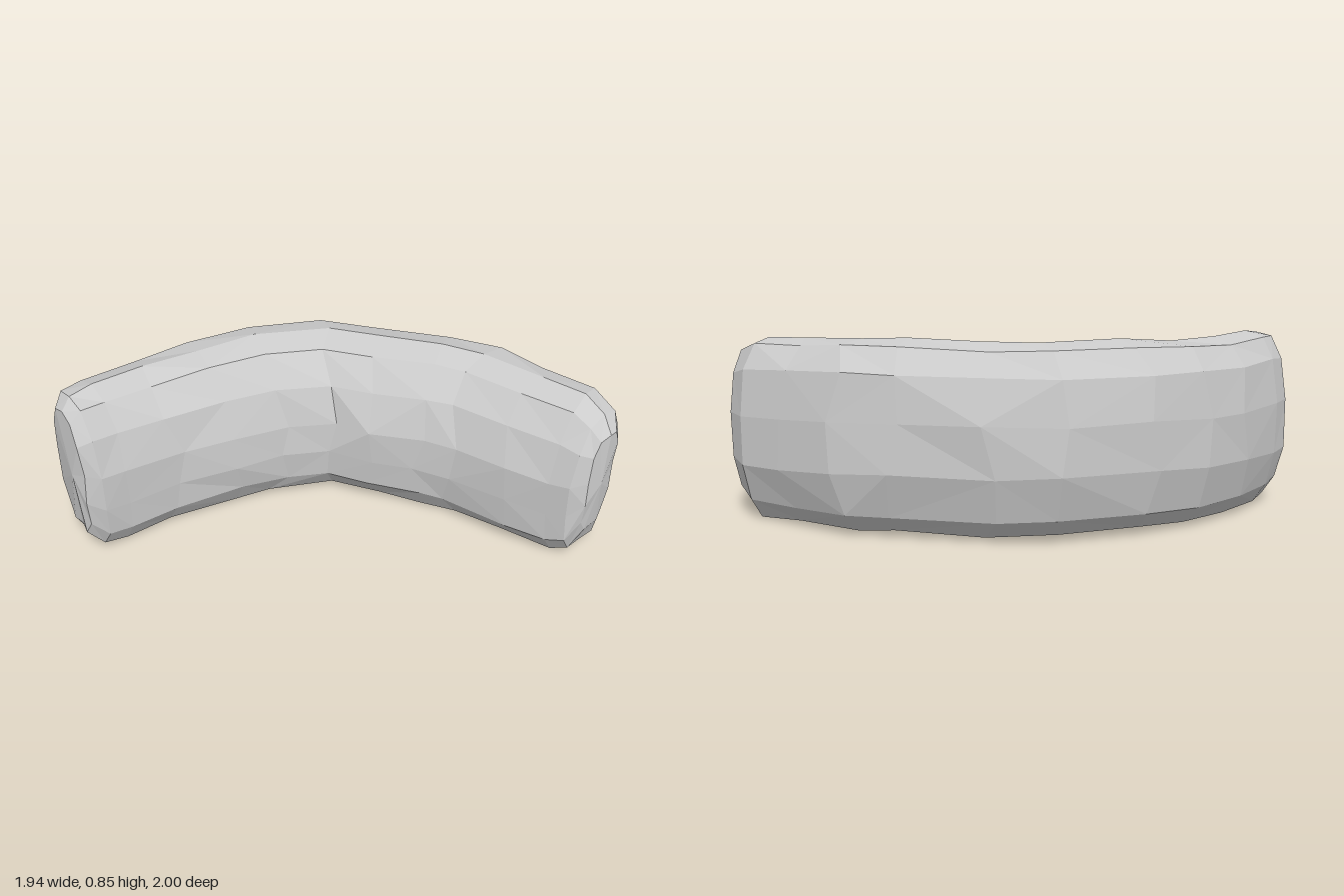
import * as THREE from 'three';

// Plan stations along the bend: outer x, outer z, inner x, inner z, bottom y, top y
const STATIONS = [
  [-0.88, 0.965, -0.62, 0.985, 0.13, 0.77],
  [-0.95, 0.91, -0.57, 0.92, 0.04, 0.83],
  [-0.965, 0.78, -0.555, 0.80, 0.02, 0.83],
  [-0.97, 0.48, -0.505, 0.55, 0.02, 0.82],
  [-0.93, 0.20, -0.415, 0.27, 0.02, 0.83],
  [-0.84, -0.08, -0.32, 0.06, 0.03, 0.84],
  [-0.63, -0.43, -0.18, -0.15, 0.03, 0.84],
  [-0.38, -0.63, 0.01, -0.24, 0.02, 0.84],
  [-0.01, -0.83, 0.19, -0.35, 0.02, 0.85],
  [0.22, -0.94, 0.34, -0.42, 0.02, 0.85],
  [0.50, -0.97, 0.61, -0.50, 0.01, 0.83],
  [0.76, -1.00, 0.82, -0.57, 0.01, 0.82],
  [0.90, -0.95, 0.91, -0.60, 0.07, 0.78],
  [0.955, -0.86, 0.96, -0.66, 0.20, 0.72],
];

// Sections across (0 outer, 1 inner) and up (0 bottom, 1 top):
// the crest leans to the outer side, the inner shoulder slopes
const MIDDLE = [
  [0.25, 0], [0.09, 0.1], [0, 0.34], [0.01, 0.6], [0.07, 0.84], [0.22, 0.97], [0.45, 1],
  [0.68, 0.95], [0.88, 0.78], [0.99, 0.54], [1, 0.34], [0.95, 0.17], [0.8, 0], [0.52, 0],
];
const END = [
  [0.3, 0], [0.14, 0.1], [0.03, 0.3], [0.02, 0.6], [0.09, 0.85], [0.24, 0.98], [0.47, 1],
  [0.72, 0.95], [0.91, 0.8], [1, 0.56], [1, 0.32], [0.96, 0.11], [0.8, 0], [0.5, 0],
];

function seeded(seed) {
  return () => {
    seed = (seed * 16807) % 2147483647;
    return (seed / 2147483647) * 2 - 1;
  };
}

function createStoneGeometry() {
  const { lerp } = THREE.MathUtils;
  const rand = seeded(4127);
  const n = MIDDLE.length;
  const last = STATIONS.length - 1;

  // Roughly chiselled rings, shifted mostly along the bend
  const rings = STATIONS.map(([ox, oz, ix, iz, y0, y1], i) => {
    const along = new THREE.Vector3(iz - oz, 0, ox - ix).normalize();
    const slide = i > 2 && i < last - 2 ? 0.04 : 0.01;
    const toEnd = Math.abs((2 * i) / last - 1);
    return MIDDLE.map(([mu, mv], k) => {
      const u = lerp(mu, END[k][0], toEnd);
      const v = lerp(mv, END[k][1], toEnd);
      const across = u + (0.5 - u) * 0.03 * rand();
      const p = new THREE.Vector3(
        lerp(ox, ix, across),
        lerp(y0, y1, v) + rand() * 0.008,
        lerp(oz, iz, across)
      );
      p.addScaledVector(along, rand() * slide);
      p.y = Math.max(0, p.y);
      return p;
    });
  });

  const positions = [];
  const tri = (...points) => points.forEach((p) => positions.push(p.x, p.y, p.z));

  // Sides, with irregular diagonals
  for (let i = 0; i < last; i++) {
    for (let k = 0; k < n; k++) {
      const a = rings[i][k], b = rings[i][(k + 1) % n];
      const c = rings[i + 1][k], d = rings[i + 1][(k + 1) % n];
      if (rand() > 0) { tri(a, b, c); tri(b, d, c); }
      else { tri(a, b, d); tri(a, d, c); }
    }
  }

  // Blunt ends
  const front = new THREE.Vector3(-0.7, 0.47, 1.0);
  const back = new THREE.Vector3(0.972, 0.45, -0.75);
  for (let k = 0; k < n; k++) {
    const m = (k + 1) % n;
    tri(front, rings[0][m], rings[0][k]);
    tri(back, rings[last][k], rings[last][m]);
  }

  const geometry = new THREE.BufferGeometry();
  geometry.setAttribute('position', new THREE.Float32BufferAttribute(positions, 3));
  geometry.computeVertexNormals();
  return geometry;
}

export function createModel() {
  const group = new THREE.Group();
  group.name = 'curvedStoneWall';
  const stone = new THREE.Mesh(
    createStoneGeometry(),
    new THREE.MeshStandardMaterial({ color: 0xcccccc, flatShading: true })
  );
  stone.name = 'curvedStone';
  group.add(stone);
  return group;
}
